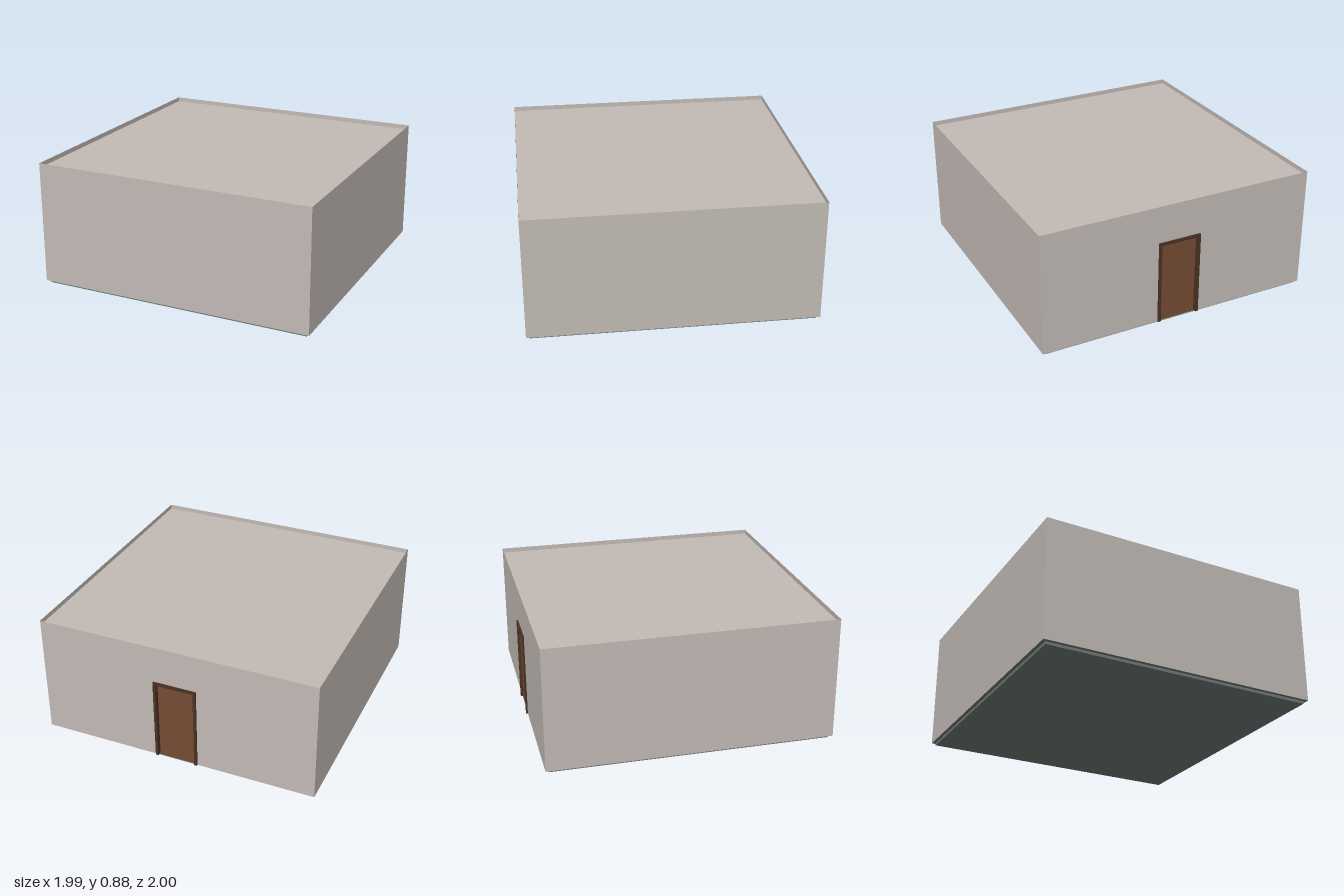
import * as THREE from 'three';

const HALF = 0.993;      // half width of the room
const BASE = 0.02;       // bottom of the walls
const TOP = 0.885;       // top of the walls
const ROOF = 0.852;      // recessed roof level
const CENTER_Z = 0.005;
const DOOR_HALF = 0.135; // half width of the doorway
const DOOR_TOP = 0.6;

const material = (color, side = THREE.FrontSide) => new THREE.MeshStandardMaterial({ color, side });

export function createModel() {
  const model = new THREE.Group();
  const wallMat = material(0xc2bab5, THREE.DoubleSide);
  const floorMat = material(0x6f7a77, THREE.DoubleSide);
  const frameMat = material(0x4a3224);
  const doorMat = material(0x744c33);

  const add = (name, geometry, mat, x, y, z, parent = model) => {
    const mesh = new THREE.Mesh(geometry, mat);
    mesh.name = name;
    mesh.position.set(x, y, z);
    parent.add(mesh);
    return mesh;
  };

  // Thin walls around the room; the back one has the doorway cut out
  const walls = new THREE.Group();
  walls.name = 'walls';
  walls.position.z = CENTER_Z;
  model.add(walls);
  ['frontWall', 'leftWall', 'backWall', 'rightWall'].forEach((name, i) => {
    const shape = new THREE.Shape();
    shape.moveTo(-HALF, BASE);
    if (name === 'backWall') {
      shape.lineTo(-DOOR_HALF, BASE);
      shape.lineTo(-DOOR_HALF, DOOR_TOP);
      shape.lineTo(DOOR_HALF, DOOR_TOP);
      shape.lineTo(DOOR_HALF, BASE);
    }
    shape.lineTo(HALF, BASE);
    shape.lineTo(HALF, TOP);
    shape.lineTo(-HALF, TOP);
    const angle = i * Math.PI / 2;
    const wall = add(name, new THREE.ShapeGeometry(shape), wallMat,
      Math.sin(angle) * HALF, 0, Math.cos(angle) * HALF, walls);
    wall.rotation.y = angle;
  });

  // Flat roof just below the rim of the walls
  const plane = new THREE.PlaneGeometry(2 * HALF, 2 * HALF).rotateX(-Math.PI / 2);
  add('roof', plane, wallMat, 0, ROOF, CENTER_Z);

  // Floor with the slightly smaller slab under it
  add('floor', plane, floorMat, 0, BASE, CENTER_Z);
  add('floorSlab', new THREE.BoxGeometry(1.94, BASE - 0.001, 1.94), floorMat, 0, (BASE - 0.001) / 2, CENTER_Z);

  // Door frame: two posts and a head
  const frame = new THREE.Group();
  frame.name = 'doorFrame';
  model.add(frame);
  const depth = 0.035;
  const frameZ = -1 + depth / 2;
  for (const side of [-1, 1]) {
    add('doorPost', new THREE.BoxGeometry(0.02, 0.6, depth), frameMat,
      side * (DOOR_HALF + 0.01), BASE + 0.3, frameZ, frame);
  }
  add('doorHead', new THREE.BoxGeometry(2 * DOOR_HALF, 0.02, depth), frameMat, 0, DOOR_TOP + 0.01, frameZ, frame);

  // Door leaf set back in the frame, with a small gap at the sides
  add('door', new THREE.BoxGeometry(2 * DOOR_HALF - 0.016, 0.57, 0.014), doorMat, 0, BASE + 0.287, -0.976);

  return model;
}
